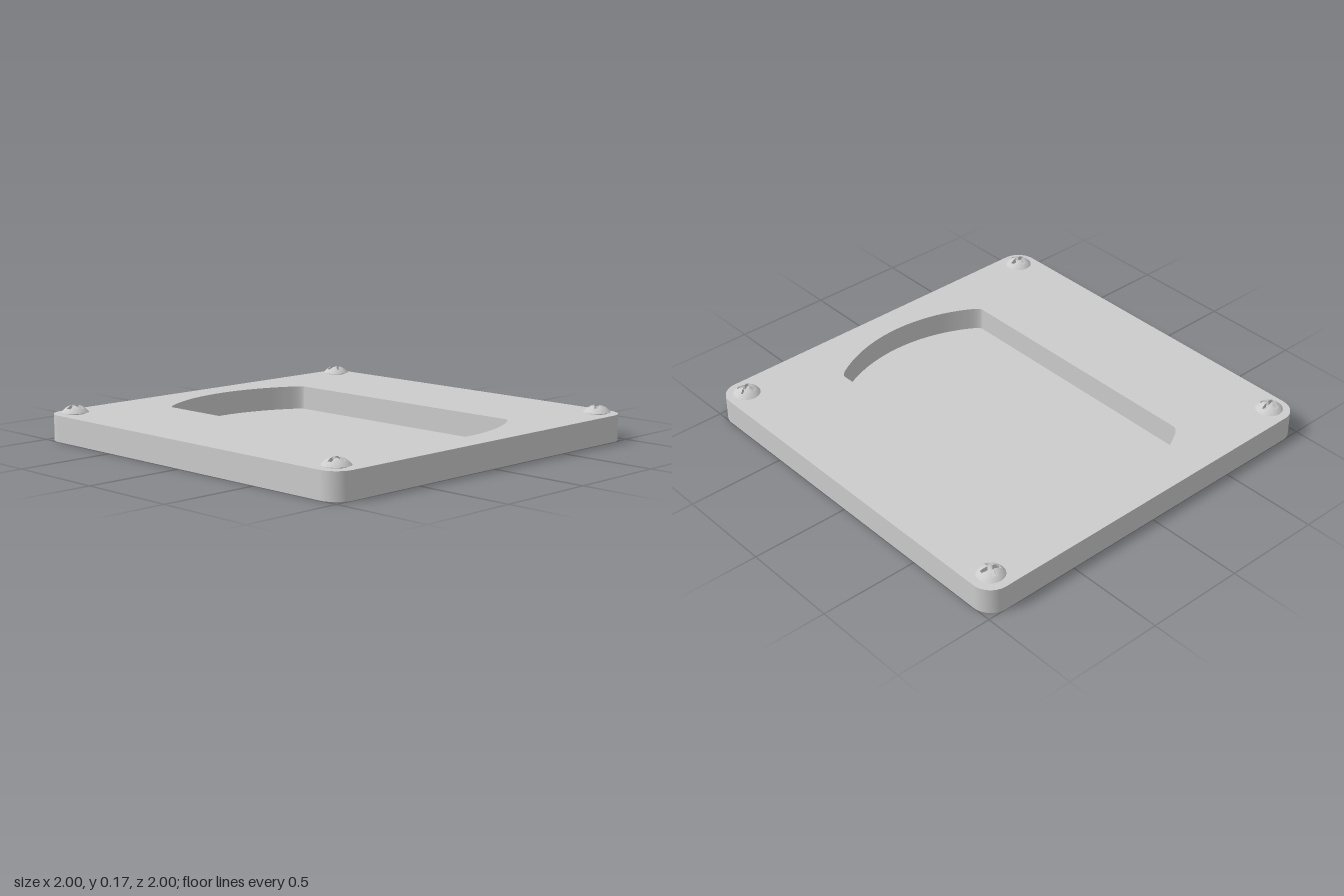
import * as THREE from 'three';
import { mergeGeometries } from 'three/addons/utils/BufferGeometryUtils.js';

const TOP = 0.13, FLOOR = 0.01;

// Closed rings of [x, y, z] points joined into a smooth skin
function loft(rings) {
  const n = rings[0].length, index = [];
  for (let r = 0; r < rings.length - 1; r++) {
    for (let i = 0; i < n; i++) {
      const a = r * n + i, b = r * n + (i + 1) % n;
      index.push(a, b, a + n, b, b + n, a + n);
    }
  }
  const geo = new THREE.BufferGeometry();
  geo.setAttribute('position', new THREE.Float32BufferAttribute(rings.flat(2), 3));
  geo.setIndex(index);
  geo.computeVertexNormals();
  return geo;
}

// Square with rounded corners
function plateOutline(h, r) {
  const s = new THREE.Shape();
  [[1, 1, 0], [-1, 1, 1], [-1, -1, 2], [1, -1, 3]].forEach(([sx, sy, q]) =>
    s.absarc(sx * (h - r), sy * (h - r), r, q * Math.PI / 2, (q + 1) * Math.PI / 2, false));
  return s.getPoints(12);
}

// Straight sides, bowed ends and softened corners
function recessOutline() {
  const s = new THREE.Shape();
  s.moveTo(0.455, -0.69);
  s.lineTo(0.455, 0.69);
  s.quadraticCurveTo(0.455, 0.712, 0.4, 0.743);
  s.absarc(0, 0.05, 0.8, Math.PI / 3, Math.PI * 2 / 3, false);
  s.quadraticCurveTo(-0.455, 0.712, -0.455, 0.69);
  s.lineTo(-0.455, -0.69);
  s.quadraticCurveTo(-0.455, -0.712, -0.4, -0.743);
  s.absarc(0, -0.05, 0.8, Math.PI * 4 / 3, Math.PI * 5 / 3, false);
  s.quadraticCurveTo(0.455, -0.712, 0.455, -0.69);
  return s.getPoints(16);
}

const open = pts => pts.filter((p, i) => p.distanceTo(pts[(i + 1) % pts.length]) > 1e-5);
const wall = (pts, y0, y1) => loft([y0, y1].map(y => pts.map(p => [p.x, y, -p.y])));
const sheet = (shape, y) => new THREE.ShapeGeometry(shape).rotateX(-Math.PI / 2).translate(0, y, 0);

// Domed screw head with a sunk cross slot
function screwGeometry() {
  const R = 0.067, H = 0.034, L = 0.046, W = 0.011;
  const tip = Math.atan(W / L), angles = [];
  for (let q = 0; q < 4; q++) {
    [-tip, 0, tip, 0.4, 0.58, Math.PI / 4, Math.PI / 2 - 0.58, Math.PI / 2 - 0.4]
      .forEach(a => angles.push(a + q * Math.PI / 2));
  }
  const cross = a => {
    const f = Math.abs(a - Math.round(a / (Math.PI / 2)) * Math.PI / 2);
    return Math.min(L / Math.cos(f), W / Math.max(Math.sin(f), 1e-6));
  };
  const dome = r => H * (1 - (r / R) ** 2.4);
  const ring = (radius, height) => angles.map(a => {
    const r = radius(a);
    return [r * Math.cos(a), height(r), -r * Math.sin(a)];
  });
  const domeRings = [0, 0.08, 0.2, 0.4, 0.6, 0.8, 1]
    .map(t => ring(a => R + (cross(a) - R) * t, dome));
  const floor = () => 0.008;
  return mergeGeometries([
    loft([ring(() => 0, () => 0), ring(() => R, () => 0)]),
    loft(domeRings),
    loft([ring(cross, dome), ring(a => cross(a) * 0.9, floor)]),
    loft([ring(a => cross(a) * 0.9, floor), ring(() => 0, floor)]),
  ]);
}

export function createModel() {
  const model = new THREE.Group();
  model.name = 'recessedCoverPlate';
  const grey = new THREE.MeshStandardMaterial({ color: 0xcccccc, side: THREE.DoubleSide });
  grey.name = 'light grey';
  const add = (name, geo, parent = model) => {
    const mesh = new THREE.Mesh(geo, grey);
    mesh.name = name;
    parent.add(mesh);
    return mesh;
  };

  // Thin shell, open underneath
  const outer = open(plateOutline(1, 0.1)), inner = open(recessOutline());
  const face = new THREE.Shape(outer);
  face.holes.push(new THREE.Path(inner));
  add('plateFace', sheet(face, TOP));
  add('plateRim', wall(outer, 0, TOP));
  add('recessWall', wall(inner, FLOOR, TOP));
  add('recessFloor', sheet(new THREE.Shape(inner), FLOOR));

  // Corner screws, each turned differently
  const head = screwGeometry();
  const neck = new THREE.CylinderGeometry(0.05, 0.05, 0.008, 32, 1, true);
  [[-1, -1, 9], [1, -1, -18], [-1, 1, 5], [1, 1, 35]].forEach(([sx, sz, turn]) => {
    const screw = new THREE.Group();
    screw.name = 'screw';
    screw.position.set(sx * 0.898, TOP, sz * 0.898);
    screw.rotation.y = THREE.MathUtils.degToRad(turn);
    add('screwHead', head, screw).position.y = 0.007;
    add('screwNeck', neck, screw).position.y = 0.004;
    model.add(screw);
  });
  return model;
}
